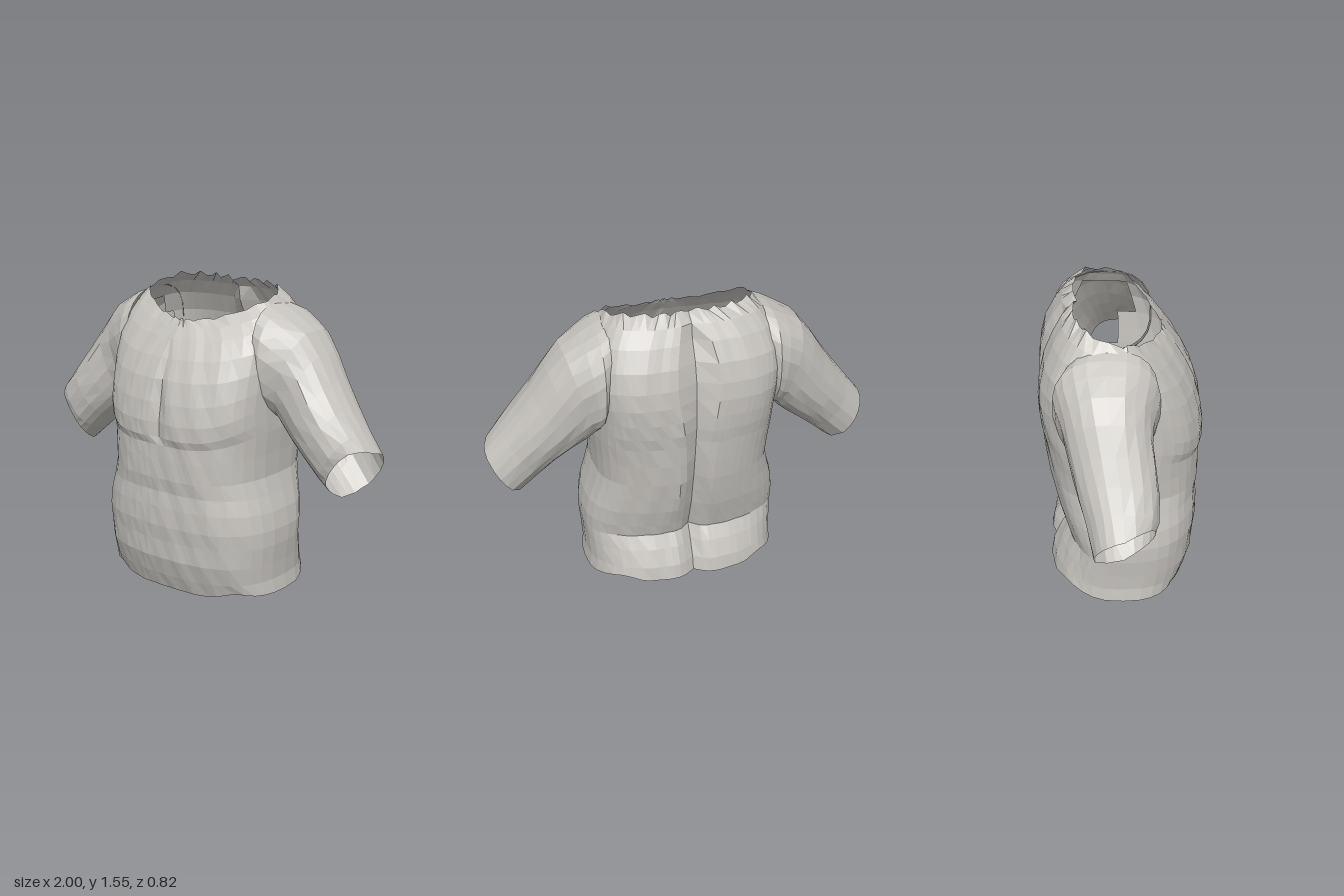
import * as THREE from 'three';

const grey = new THREE.MeshStandardMaterial({ color: 0xc6c3be, flatShading: true, side: THREE.DoubleSide });
grey.name = 'warm grey';

// Skin a list of closed rings, leaving out quads whose corners are all inside a hole;
// flip reverses the winding for mirrored parts
function loft(rings, name, { flip = false, inHole = () => false } = {}) {
  const n = rings[0].length, index = [], points = rings.flat();
  for (let r = 0; r < rings.length - 1; r++) {
    for (let i = 0; i < n; i++) {
      const a = r * n + i, b = r * n + (i + 1) % n, c = a + n, d = b + n;
      if ([a, b, c, d].every((k) => inHole(points[k]))) continue;
      if (flip) index.push(a, c, b, b, c, d);
      else index.push(a, b, c, b, d, c);
    }
  }
  const geo = new THREE.BufferGeometry().setFromPoints(points);
  geo.setIndex(index);
  geo.computeVertexNormals();
  const mesh = new THREE.Mesh(geo, grey);
  mesh.name = name;
  return mesh;
}

const spow = (v, e) => Math.sign(v) * Math.abs(v) ** e;
const bump = (v, width) => Math.exp(-((v / width) ** 2));
const ripple = (a, b) => 0.005 * Math.sin(a * 2.3 + b * 4.1) * Math.cos(a * 1.1 - b * 2.7);

// Torso sections: y at front, side, back; half width; z at front, back;
// exponents of the front and back halves (lower is squarer)
const TORSO = [
  [0.00, 0.025, 0.055, 0.51, 0.32, -0.375, 0.75, 0.78],
  [0.08, 0.10, 0.13, 0.50, 0.35, -0.36, 0.75, 0.76],
  [0.18, 0.19, 0.22, 0.505, 0.38, -0.32, 0.75, 0.75],
  [0.28, 0.29, 0.29, 0.515, 0.385, -0.28, 0.75, 0.75],
  [0.36, 0.37, 0.36, 0.515, 0.395, -0.30, 0.75, 0.75],
  [0.46, 0.46, 0.46, 0.50, 0.395, -0.33, 0.75, 0.75],
  [0.54, 0.54, 0.55, 0.475, 0.39, -0.35, 0.75, 0.73],
  [0.61, 0.63, 0.65, 0.45, 0.40, -0.37, 0.75, 0.7],
  [0.71, 0.75, 0.77, 0.455, 0.40, -0.385, 0.75, 0.68],
  [0.785, 0.87, 0.88, 0.465, 0.398, -0.395, 0.76, 0.64],
  [0.825, 0.93, 0.95, 0.465, 0.41, -0.405, 0.72, 0.6],
  [0.90, 1.00, 1.03, 0.465, 0.41, -0.41, 0.70, 0.55],
  [1.00, 1.09, 1.12, 0.47, 0.395, -0.41, 0.73, 0.5],
  [1.11, 1.19, 1.21, 0.475, 0.365, -0.40, 0.78, 0.48],
  [1.21, 1.29, 1.31, 0.475, 0.32, -0.375, 0.85, 0.5],
  [1.30, 1.38, 1.41, 0.455, 0.265, -0.33, 0.98, 0.56],
  [1.35, 1.44, 1.485, 0.42, 0.23, -0.285, 1.15, 0.64],
  [1.385, 1.49, 1.535, 0.37, 0.205, -0.23, 1.4, 0.72],
];

// Armholes under the sleeves
const armhole = ({ x, y, z }) =>
  Math.abs(x) > 0.4 && ((y - 1.2) / 0.22) ** 2 + ((z + 0.08) / 0.22) ** 2 < 1;

function torso() {
  const N = 56, top = TORSO.length - 1;
  const rings = TORSO.map(([yF, yS, yB, w, zF, zB, eF, eB], r) => Array.from({ length: N }, (_, i) => {
    const t = i / N * Math.PI * 2;
    const a = t - 0.3 * Math.sin(2 * t); // finer steps near the centre lines
    const s = Math.sin(a), c = Math.cos(a), front = c > 0;
    const e = front ? eF : eB;
    const x = w * spow(s, e);
    let z = (front ? zF : -zB) * spow(c, e);
    let y = yS + ((front ? yF : yB) - yS) * (1 - Math.abs(s) ** (front ? 3 : r > 14 ? 10 : 5));
    // spine and breastbone furrows
    if (!front) z += (r > 15 ? 0.02 : 0.055) * bump(x, 0.045);
    else if (r > 9 && r < 15) z -= (r < 13 ? 0.022 : 0.01) * bump(x, 0.03);
    // ragged neckline and wavy hem
    if (r === top) y += (front ? 0.006 : 0.013) * Math.sin(i * 2.2);
    if (r === 0) y += 0.03 * bump(Math.abs(x) - 0.38, 0.08);
    const k = ripple(Math.abs(x) * 14 + (front ? 0 : 5), r);
    return new THREE.Vector3(x, y, z + k);
  }));
  return loft(rings, 'torso', { inHole: armhole });
}

// Sleeve sections: outer edge x, y; inner edge x, y; z at front, back; squareness
const SLEEVE = [
  [0.385, 1.475, 0.425, 0.98, 0.17, -0.30, 0.8],
  [0.44, 1.455, 0.44, 0.95, 0.18, -0.335, 0.8],
  [0.51, 1.415, 0.45, 0.93, 0.165, -0.322, 0.8],
  [0.60, 1.36, 0.47, 0.91, 0.14, -0.295, 0.82],
  [0.68, 1.26, 0.50, 0.87, 0.135, -0.272, 0.85],
  [0.76, 1.14, 0.565, 0.81, 0.15, -0.245, 0.9],
  [0.84, 1.03, 0.65, 0.74, 0.16, -0.215, 0.9],
  [0.92, 0.93, 0.735, 0.66, 0.155, -0.18, 0.9],
  [0.995, 0.835, 0.82, 0.58, 0.14, -0.15, 0.9],
];

function sleeve(side) {
  const N = 22;
  const rings = SLEEVE.map(([ox, oy, ix, iy, zF, zB, e], r) => Array.from({ length: N }, (_, i) => {
    const a = i / N * Math.PI * 2;
    const c = spow(Math.cos(a), e), s = spow(Math.sin(a), e);
    const k = r > 1 ? ripple(i, r) : 0;
    // the cuff is cut shorter at the front
    const cut = r === SLEEVE.length - 1 ? (s > 0 ? 0.055 : 0.025) * s : 0;
    return new THREE.Vector3(
      side * ((ox + ix) / 2 + (ox - ix) / 2 * c - cut),
      (oy + iy) / 2 + (oy - iy) / 2 * c + cut + k,
      (zF + zB) / 2 + (zF - zB) / 2 * s + k);
  }));
  return loft(rings, side > 0 ? 'leftSleeve' : 'rightSleeve', { flip: side < 0 });
}

export function createModel() {
  const model = new THREE.Group();
  model.name = 'muscledShirt';
  model.add(torso(), sleeve(1), sleeve(-1));
  return model;
}
